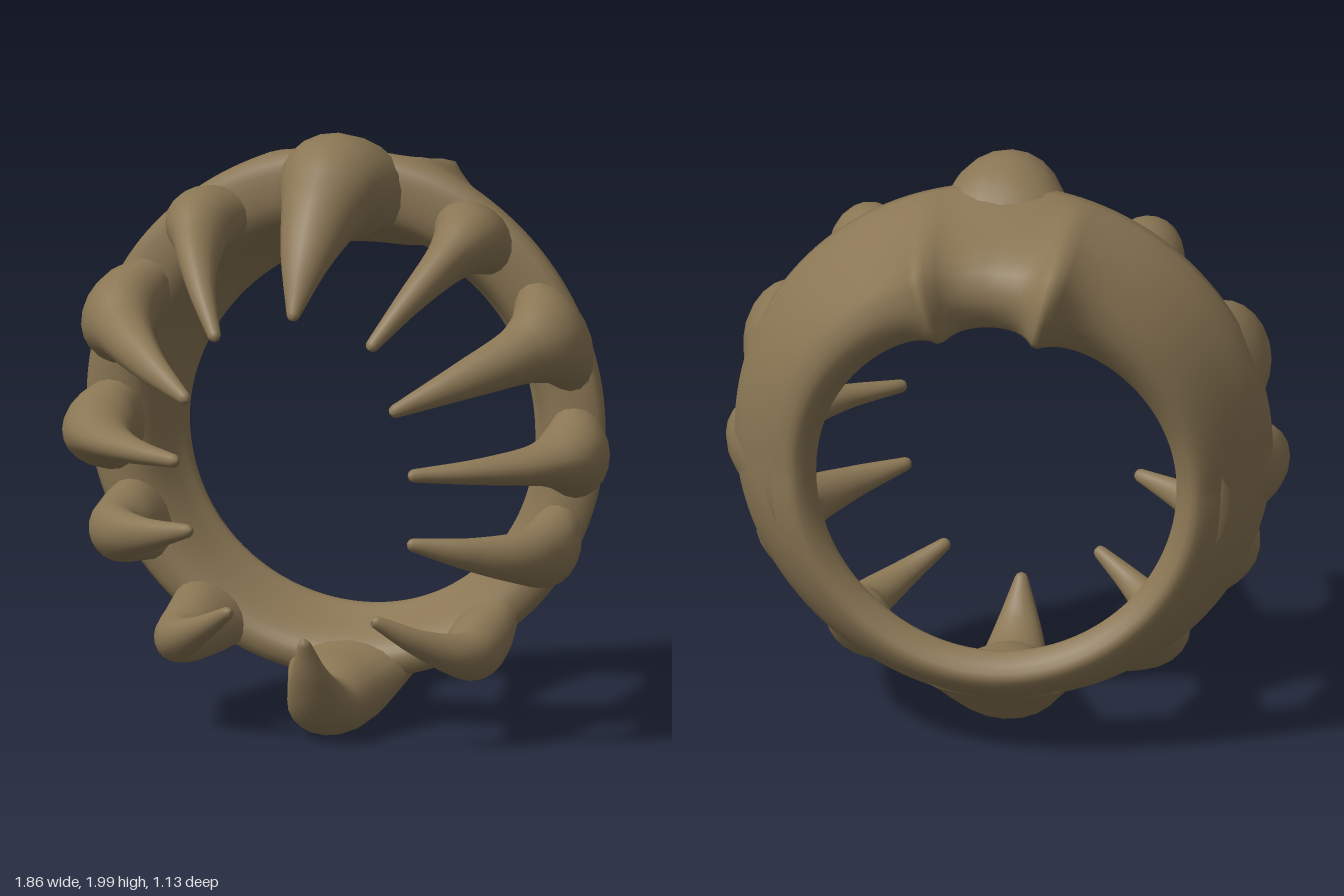
import * as THREE from 'three';

const CENTRE_Y = 0.97;
const bone = new THREE.MeshStandardMaterial({ color: 0x8a7654 });
bone.name = 'bone';

// Point at radius r and depth z on the spoke t radians from the top, toward +x
const spoke = (t, r, z) => new THREE.Vector3(r * Math.sin(t), CENTRE_Y + r * Math.cos(t), z);

// Skin a list of rings with equal point counts; loop joins the last ring to the first
function loft(rings, loop) {
  const n = rings[0].length, pos = [], idx = [];
  rings.forEach(r => r.forEach(p => pos.push(p.x, p.y, p.z)));
  const last = loop ? rings.length : rings.length - 1;
  for (let i = 0; i < last; i++) {
    const k = (i + 1) % rings.length;
    for (let j = 0; j < n; j++) {
      const a = i * n + j, b = i * n + (j + 1) % n;
      const c = k * n + j, d = k * n + (j + 1) % n;
      idx.push(a, b, c, b, d, c);
    }
  }
  const g = new THREE.BufferGeometry();
  g.setAttribute('position', new THREE.Float32BufferAttribute(pos, 3));
  g.setIndex(idx);
  g.computeVertexNormals();
  return g;
}

// Flared band: heavier and deeper at the top, with two pointed lobes at its back edge
function bandGeometry() {
  const rings = [], N = 180, M = 28;
  for (let i = 0; i < N; i++) {
    const t = Math.PI - i / N * Math.PI * 2;
    const up = Math.max(0, Math.cos(t)), down = Math.max(0, -Math.cos(t));
    // Lobes fall away steeply toward the middle and gently toward the sides
    const off = Math.abs(t) - 0.26;
    const lobe = Math.exp(-Math.abs(off) / (off < 0 ? 0.07 : 0.13));
    const inBack = 0.595, inFront = 0.7 + 0.04 * up;
    const outFront = 0.885 + 0.075 * Math.cos(t), outBack = 0.72 + 0.08 * up + 0.07 * lobe;
    const zBack = -0.31 - 0.13 * up ** 1.5 - 0.04 * down ** 4 - 0.14 * lobe;
    const zFront = -0.04 + 0.03 * Math.cos(t), zMid = (zBack + zFront) / 2;
    const section = [
      spoke(t, inBack, zBack + 0.07),
      spoke(t, (inBack + inFront) / 2 - 0.02, zMid),
      spoke(t, inFront, zFront - 0.01),
      spoke(t, (inFront + outFront) / 2, zFront + 0.02),
      spoke(t, outFront, zFront - 0.01),
      spoke(t, (outFront + outBack) / 2 + 0.02, zMid),
      spoke(t, outBack, zBack + 0.03),
      spoke(t, (inBack + outBack) / 2, zBack),
    ];
    const curve = new THREE.CatmullRomCurve3(section, true);
    rings.push(Array.from({ length: M }, (_, j) => curve.getPoint(j / M)));
  }
  return loft(rings, true);
}

// Claws: spoke angle, radius at root and knuckle, half width there, half depth at root, tip
const claws = [
  { name: 'topClaw', angle: 0, root: 0.85, knuckle: 0.8, width: 0.2, mid: 0.14, depth: 0.18, tip: [0, 1.48, 0.515] },
  { name: 'upperClaw', angle: 33, root: 0.845, knuckle: 0.785, width: 0.13, mid: 0.075, depth: 0.115, tip: [0.27, 1.395, 0.515] },
  { name: 'shoulderClaw', angle: 62, root: 0.835, knuckle: 0.77, width: 0.175, mid: 0.1, depth: 0.12, tip: [0.36, 1.19, 0.555] },
  { name: 'sideClaw', angle: 90, root: 0.81, knuckle: 0.755, width: 0.135, mid: 0.072, depth: 0.12, tip: [0.41, 0.97, 0.51] },
  { name: 'lowerSideClaw', angle: 114, root: 0.79, knuckle: 0.77, width: 0.125, mid: 0.095, depth: 0.105, tip: [0.385, 0.725, 0.44] },
  { name: 'lowerClaw', angle: 143, root: 0.805, knuckle: 0.82, width: 0.115, mid: 0.08, depth: 0.1, tip: [0.255, 0.455, 0.42] },
  { name: 'bottomClaw', angle: 180, root: 0.83, knuckle: 0.84, width: 0.17, mid: 0.12, depth: 0.125, tip: [0, 0.36, 0.395] },
];

function clawGeometry({ angle, root, knuckle, width, mid, depth, tip }, side) {
  const t = THREE.MathUtils.degToRad(angle) * side;
  const knee = spoke(t, knuckle, 0.2);
  const end = new THREE.Vector3(tip[0] * side, tip[1], tip[2]);
  // Bow the outer half outward and forward
  const bend = knee.clone().lerp(end, 0.5);
  bend.x += 0.015 * Math.sin(t);
  bend.y += 0.015 * Math.cos(t);
  bend.z += 0.025;
  // The buried base is wide and thin so that the claw swells out of the band
  const line = new THREE.CatmullRomCurve3([spoke(t, 0.71, -0.25), spoke(t, root, 0.04), knee, bend, end]);
  const taper = new THREE.CatmullRomCurve3([
    new THREE.Vector3(width * 1.5, depth * 0.35, 0),
    new THREE.Vector3(width, depth, 0),
    new THREE.Vector3(mid, depth * 0.8, 0),
    new THREE.Vector3(mid * 0.6, depth * 0.42, 0),
    new THREE.Vector3(0.022, 0.02, 0),
  ]);
  const rings = [], N = 28, M = 20;
  const addRing = (u, ahead, scale) => {
    const T = line.getTangent(u), s = taper.getPoint(u);
    const c = line.getPoint(u).addScaledVector(T, ahead);
    const U = new THREE.Vector3(Math.cos(t), -Math.sin(t), 0);
    U.addScaledVector(T, -U.dot(T)).normalize();
    const V = new THREE.Vector3().crossVectors(T, U);
    rings.push(Array.from({ length: M }, (_, j) => {
      const a = j / M * Math.PI * 2;
      return c.clone()
        .addScaledVector(U, Math.cos(a) * s.x * scale)
        .addScaledVector(V, Math.sin(a) * s.y * scale);
    }));
  };
  addRing(0, 0, 0);
  for (let i = 0; i <= N; i++) addRing(i / N, 0, 1);
  // Rounded tip
  addRing(1, 0.012, 0.7);
  addRing(1, 0.018, 0);
  return loft(rings, false);
}

export function createModel() {
  const model = new THREE.Group();
  model.name = 'clawRing';
  const add = (name, geometry) => {
    const mesh = new THREE.Mesh(geometry, bone);
    mesh.name = name;
    model.add(mesh);
  };
  add('ringBand', bandGeometry());
  for (const claw of claws) {
    if (claw.angle % 180 === 0) add(claw.name, clawGeometry(claw, 1));
    else for (const side of [1, -1]) add(claw.name + (side > 0 ? 'Left' : 'Right'), clawGeometry(claw, side));
  }
  return model;
}
